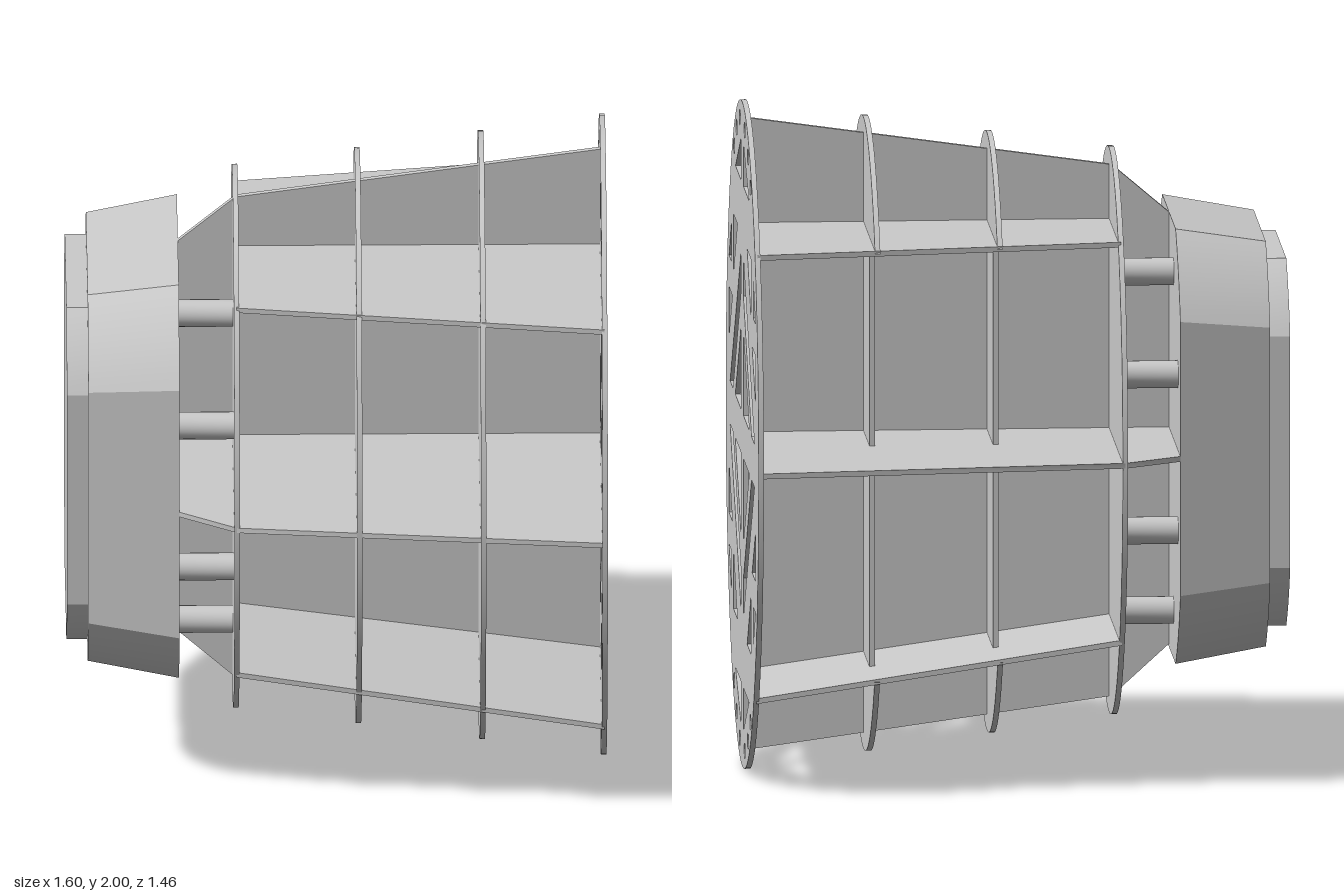
import * as THREE from 'three';
import { toCreasedNormals } from 'three/addons/utils/BufferGeometryUtils.js';

const T = 0.016; // sheet thickness
const X0 = -0.3, X1 = 0.79; // first and last bulkhead
const MID = 1; // height of the long axis
const TOP = 0.63; // upper deck above the axis
const lerp = (x, a, b) => a + (b - a) * (x - X0) / (X1 - X0);
const halfH = x => lerp(x, 0.85, 1.0);
const halfW = x => lerp(x, 0.615, 0.73);
const lowDeck = x => lerp(x, -0.56, -0.715);
const widthAt = (x, y) => halfW(x) * Math.sqrt(1 - (y / halfH(x)) ** 2);

const poly = pts => new THREE.Shape(pts.map(p => new THREE.Vector2(p[0], p[1])));
const extrude = (shape, depth) =>
  new THREE.ExtrudeGeometry(shape, { depth, bevelEnabled: false, curveSegments: 64 });

export function createModel() {
  const group = new THREE.Group();
  const material = new THREE.MeshStandardMaterial({ color: 0xcccccc });
  const add = (name, geometry) => {
    const mesh = new THREE.Mesh(toCreasedNormals(geometry, 0.5), material);
    mesh.name = name;
    group.add(mesh);
    return mesh;
  };
  // Cross-section drawn as (-z, y about the axis), extruded along x
  const across = (name, shape, x, depth) =>
    add(name, extrude(shape, depth).rotateY(Math.PI / 2).translate(x, MID, 0));

  const ellipse = x => {
    const s = new THREE.Shape();
    s.absellipse(0, 0, halfW(x), halfH(x), 0, Math.PI * 2);
    return s;
  };

  // Front end plate: one quadrant of cut-outs mirrored four ways
  const cuts = [
    [[0.05, 0.755], [0.05, 0.885], [0.3, 0.755]],
    [[0.215, 0.595], [0.39, 0.595], [0.39, 0.415]],
    [[0.485, 0.55], [0.485, 0.435], [0.585, 0.435]],
    [[0.435, 0.34], [0.59, 0.34], [0.59, 0.19]],
    [[0.05, 0.545], [0.05, 0.425], [0.41, 0.065], [0.54, 0.065]],
    [[0.05, 0.32], [0.05, 0.065], [0.31, 0.065]],
  ];
  const bolts = [[0.105, 0.935], [0.255, 0.88], [0.36, 0.805]];
  const endPlate = ellipse(X1);
  for (const sx of [1, -1]) for (const sy of [1, -1]) {
    for (const c of cuts) endPlate.holes.push(poly(c.map(([a, b]) => [a * sx, b * sy])));
    for (const [a, b] of bolts) {
      const hole = new THREE.Path();
      hole.absellipse(a * sx, b * sy, 0.025, 0.025, 0, Math.PI * 2);
      endPlate.holes.push(new THREE.Path(hole.getPoints(6)));
    }
  }
  across('perforatedEndPlate', endPlate, X1 - T / 2, T);
  across('rearBulkhead', ellipse(X0), X0 - T / 2, T);

  // Middle ribs, with a bay cut out of the back side between the decks
  for (const x of [0.063, 0.43]) {
    const a0 = Math.asin(TOP / halfH(x));
    const a1 = Math.PI * 2 + Math.asin(lowDeck(x) / halfH(x));
    const pts = [];
    for (let i = 0; i <= 90; i++) {
      const a = a0 + (a1 - a0) * i / 90;
      pts.push([halfW(x) * Math.cos(a), halfH(x) * Math.sin(a)]);
    }
    pts.push([0.27, lowDeck(x)], [0.27, TOP]);
    across('rib', poly(pts), x - T / 2, T);
  }

  // Upright wall along the middle
  add('centreWall', extrude(poly([
    [-0.47, 0.355], [X0, 0.2], [X1, 0.05], [X1, 1.955], [X0, 1.8], [-0.47, 1.655],
  ]), T).translate(0, 0, -T / 2));

  // Lengthwise decks, each following a height rule and the taper of the ribs
  const deck = (name, half, height) => {
    const outline = [...half, ...half.map(([x, w]) => [x, -w]).reverse()].reverse();
    const g = extrude(poly(outline), T).rotateX(-Math.PI / 2).translate(0, MID - T / 2, 0);
    const p = g.attributes.position;
    for (let i = 0; i < p.count; i++) p.setY(i, p.getY(i) + height(p.getX(i)));
    add(name, g);
  };
  const between = height => [X0, X1].map(x => [x, widthAt(x, height(x))]);
  deck('middleDeck', [[-0.47, 0.51], [X0, 0.615], [X1, 0.725]], () => 0);
  deck('upperDeck', between(() => TOP), () => TOP);
  deck('lowerDeck', between(lowDeck), lowDeck);

  // Rear housing: ellipse with flattened sides, top and bottom
  const flattened = (w, h) => {
    const a = w * 1.2, b = h * 1.14, pts = [];
    const t0 = Math.acos(w / a), t1 = Math.asin(h / b);
    for (let q = 0; q < 4; q++) for (let i = 0; i <= 8; i++) {
      const odd = q % 2;
      const t = t0 + (t1 - t0) * (odd ? 8 - i : i) / 8;
      const sx = q === 0 || q === 3 ? 1 : -1, sy = q < 2 ? 1 : -1;
      pts.push([sx * a * Math.cos(t), sy * b * Math.sin(t)]);
    }
    return poly(pts);
  };
  const housing = extrude(flattened(0.465, 0.61), 0.27);
  const hp = housing.attributes.position;
  for (let i = 0; i < hp.count; i++) {
    const k = hp.getZ(i) / 0.27;
    hp.setX(i, hp.getX(i) * (1 + k * 0.045 / 0.465));
    hp.setY(i, hp.getY(i) * (1 + k * 0.045 / 0.61));
  }
  add('housing', housing.rotateY(Math.PI / 2).translate(-0.74, MID, 0));
  across('housingCap', flattened(0.413, 0.553), -0.803, 0.07);

  // Rods joining the housing to the rear bulkhead
  for (const [y, z] of [[0.51, 0.195], [0.235, 0.39]])
    for (const sy of [1, -1]) for (const sz of [1, -1]) {
      const rod = new THREE.CylinderGeometry(0.041, 0.041, 0.18, 24).rotateZ(Math.PI / 2);
      add('rod', rod).position.set(-0.385, MID + y * sy, z * sz);
    }

  return group;
}
